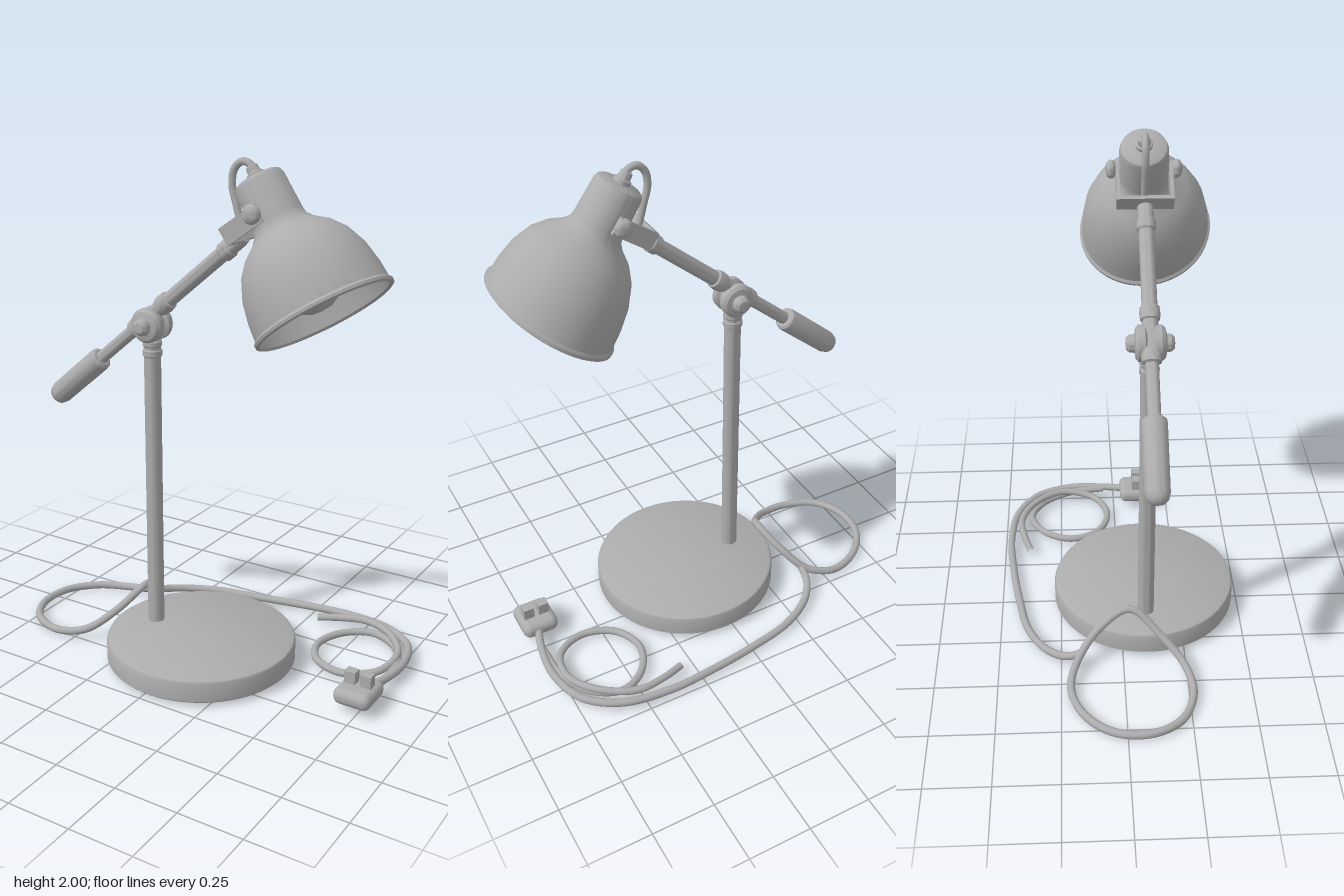
import * as THREE from 'three';
import { toCreasedNormals } from 'three/addons/utils/BufferGeometryUtils.js';
import { RoundedBoxGeometry } from 'three/addons/geometries/RoundedBoxGeometry.js';

const V = (x, y, z) => new THREE.Vector3(x, y, z);

export function createModel() {
  const grey = new THREE.MeshStandardMaterial({ color: 0xacacac });
  grey.name = 'lampGrey';
  const model = new THREE.Group();
  model.name = 'deskLamp';

  const add = (parent, name, geometry, x = 0, y = 0, z = 0) => {
    const mesh = new THREE.Mesh(geometry, grey);
    mesh.name = name;
    mesh.position.set(x, y, z);
    parent.add(mesh);
    return mesh;
  };
  const group = (name, x, y, z) => {
    const g = new THREE.Group();
    g.name = name;
    g.position.set(x, y, z);
    model.add(g);
    return g;
  };
  // Turned part around y; profile is [radius, height] with the outside rising
  const lathe = (profile, sides) =>
    new THREE.LatheGeometry(profile.map(([r, y]) => new THREE.Vector2(r, y)), sides);
  const turned = (profile, sides = 40) => toCreasedNormals(lathe(profile, sides), 0.6);
  const cable = (points, radius, closed = false) => {
    const curve = new THREE.CatmullRomCurve3(points.map(p => V(...p)), closed);
    return new THREE.TubeGeometry(curve, points.length * 10, radius, 10, closed);
  };

  // Hollow base, open underneath
  add(model, 'base', turned([[0, 0.05], [0.348, 0.05], [0.348, 0.01], [0.37, 0.01], [0.379, 0.018],
    [0.379, 0.088], [0.374, 0.099], [0.362, 0.105], [0, 0.105]], 72), 0.03, 0, 0.103);

  // Post with collars
  add(model, 'post', turned([[0.033, 0.1], [0.033, 1.225], [0.038, 1.23], [0.038, 1.25], [0.034, 1.255],
    [0.034, 1.265], [0.038, 1.27], [0.038, 1.285], [0.031, 1.295], [0.031, 1.34]], 24), -0.19, 0, 0.1);

  // Pivot joint, turned about z
  const pivot = group('pivotJoint', -0.19, 1.353, 0.1);
  const hub = add(pivot, 'pivotHub', turned([[0, -0.088], [0.022, -0.086], [0.032, -0.075], [0.034, -0.055],
    [0.056, -0.052], [0.067, -0.042], [0.067, -0.018], [0.052, -0.01], [0.052, 0.01], [0.067, 0.018],
    [0.067, 0.042], [0.056, 0.056], [0.034, 0.062], [0.032, 0.078], [0.02, 0.09], [0, 0.092]], 32));
  hub.rotation.x = Math.PI / 2;

  // Arm and handle; local y runs up along the arm
  const arm = group('arm', -0.19, 1.387, 0.103);
  arm.rotation.z = -THREE.MathUtils.degToRad(49.8);
  add(arm, 'armRod', turned([[0.025, -0.32], [0.025, -0.12], [0.029, 0], [0.029, 0.44]], 24));
  add(arm, 'handle', turned([[0, -0.626], [0.024, -0.622], [0.039, -0.608], [0.046, -0.582],
    [0.047, -0.335], [0.045, -0.32], [0.036, -0.312], [0, -0.31]], 28));
  for (const s of [-1, 1]) {
    add(arm, 'armCollar', turned([[0.026, -0.03], [0.036, -0.024], [0.039, 0], [0.036, 0.024], [0.026, 0.03]], 24),
      0, s * 0.082, 0);
  }
  add(arm, 'armEnd', turned([[0.028, 0.41], [0.036, 0.418], [0.037, 0.45], [0.031, 0.458],
    [0.031, 0.5], [0.028, 0.525], [0, 0.53]], 24));

  // Fork holding the head, with a knob on each side
  const fork = group('headFork', 0.31, 1.825, 0.103);
  const forkArms = new THREE.Group();
  forkArms.name = 'forkArms';
  forkArms.rotation.z = THREE.MathUtils.degToRad(35);
  fork.add(forkArms);
  add(forkArms, 'forkBridge', new THREE.BoxGeometry(0.015, 0.07, 0.19), -0.145, -0.006, 0);
  for (const s of [-1, 1]) {
    add(forkArms, 'forkPlate', new THREE.BoxGeometry(0.17, 0.068, 0.014), -0.068, -0.006, s * 0.1);
    const knob = add(fork, 'forkKnob', turned([[0.014, -0.03], [0.014, 0.01], [0.026, 0.011], [0.034, 0.02],
      [0.035, 0.03], [0.028, 0.041], [0.014, 0.047], [0, 0.048]], 24), 0, 0, s * 0.097);
    knob.rotation.x = s * Math.PI / 2;
  }

  // Lamp head; local -y points out of the shade
  const head = group('lampHead', 0.259, 1.931, 0.1);
  head.quaternion.setFromUnitVectors(V(0, -1, 0), V(0.54, -0.838, 0.045).normalize());
  const shade = lathe([[0, -0.2], [0.085, -0.205], [0.14, -0.25], [0.19, -0.305], [0.222, -0.37],
    [0.239, -0.45], [0.246, -0.53], [0.254, -0.538], [0.263, -0.533], [0.264, -0.522], [0.255, -0.513],
    [0.25, -0.45], [0.235, -0.37], [0.204, -0.295], [0.165, -0.245], [0.12, -0.21], [0.1, -0.185],
    [0.096, -0.16], [0.092, -0.025], [0.086, -0.008], [0.074, 0], [0, 0.002]], 64);
  // The rim is cut slightly aslant
  const pos = shade.attributes.position;
  for (let i = 0; i < pos.count; i++) {
    const y = pos.getY(i);
    const t = Math.max(0, (-y - 0.2) / 0.33);
    pos.setY(i, y + t * (0.05 * pos.getX(i) + 0.08 * pos.getZ(i)));
  }
  add(head, 'shade', toCreasedNormals(shade, 0.6));
  add(head, 'bulb', turned([[0, -0.515], [0.04, -0.51], [0.082, -0.488], [0.112, -0.45], [0.122, -0.405],
    [0.113, -0.355], [0.085, -0.305], [0.05, -0.255], [0.042, -0.19]], 32));
  add(head, 'cableGland', turned([[0.032, -0.005], [0.032, 0.015], [0.024, 0.02], [0.022, 0.042],
    [0.014, 0.048], [0, 0.048]], 20));
  add(model, 'headCable', cable([[0.255, 1.93, 0.1], [0.235, 1.972, 0.1], [0.2, 1.983, 0.1], [0.168, 1.955, 0.1],
    [0.16, 1.9, 0.1], [0.178, 1.83, 0.1], [0.2, 1.75, 0.1]], 0.014));

  // Mains cable: loop rising over the base edge, long run, coil
  add(model, 'cableLoop', cable([[-0.295, 0.2, 0.03], [-0.335, 0.145, -0.09], [-0.42, 0.06, -0.18],
    [-0.54, 0.022, -0.212], [-0.68, 0.016, -0.163], [-0.775, 0.016, -0.05], [-0.787, 0.016, 0.09],
    [-0.72, 0.016, 0.21], [-0.58, 0.018, 0.265], [-0.45, 0.045, 0.238], [-0.36, 0.115, 0.15]], 0.016, true));
  add(model, 'cableRun', cable([[-0.4, 0.07, -0.165], [-0.39, 0.045, -0.23], [-0.33, 0.03, -0.31],
    [-0.2, 0.022, -0.385], [0, 0.02, -0.43], [0.2, 0.025, -0.46], [0.4, 0.03, -0.475], [0.6, 0.035, -0.445],
    [0.73, 0.04, -0.35], [0.78, 0.045, -0.2], [0.77, 0.05, -0.05], [0.74, 0.06, 0.06]], 0.016));
  add(model, 'cableCoil', cable([[0.31, 0.03, -0.385], [0.4, 0.04, -0.415], [0.52, 0.05, -0.43],
    [0.65, 0.055, -0.365], [0.735, 0.05, -0.24], [0.71, 0.035, -0.1], [0.59, 0.025, -0.035],
    [0.46, 0.022, -0.08], [0.405, 0.022, -0.2], [0.455, 0.025, -0.325], [0.565, 0.028, -0.385],
    [0.675, 0.03, -0.335], [0.75, 0.035, -0.21], [0.765, 0.045, -0.05]], 0.015));

  // Plug lying with its pins upward
  const plug = group('plug', 0.73, 0.03, 0.113);
  add(plug, 'plugBody', new RoundedBoxGeometry(0.15, 0.066, 0.165, 4, 0.03), 0, 0.032, 0);
  for (const s of [-1, 1]) {
    add(plug, 'plugPin', new THREE.BoxGeometry(0.044, 0.06, 0.04), s * 0.032, 0.083, -0.005);
  }
  return model;
}
